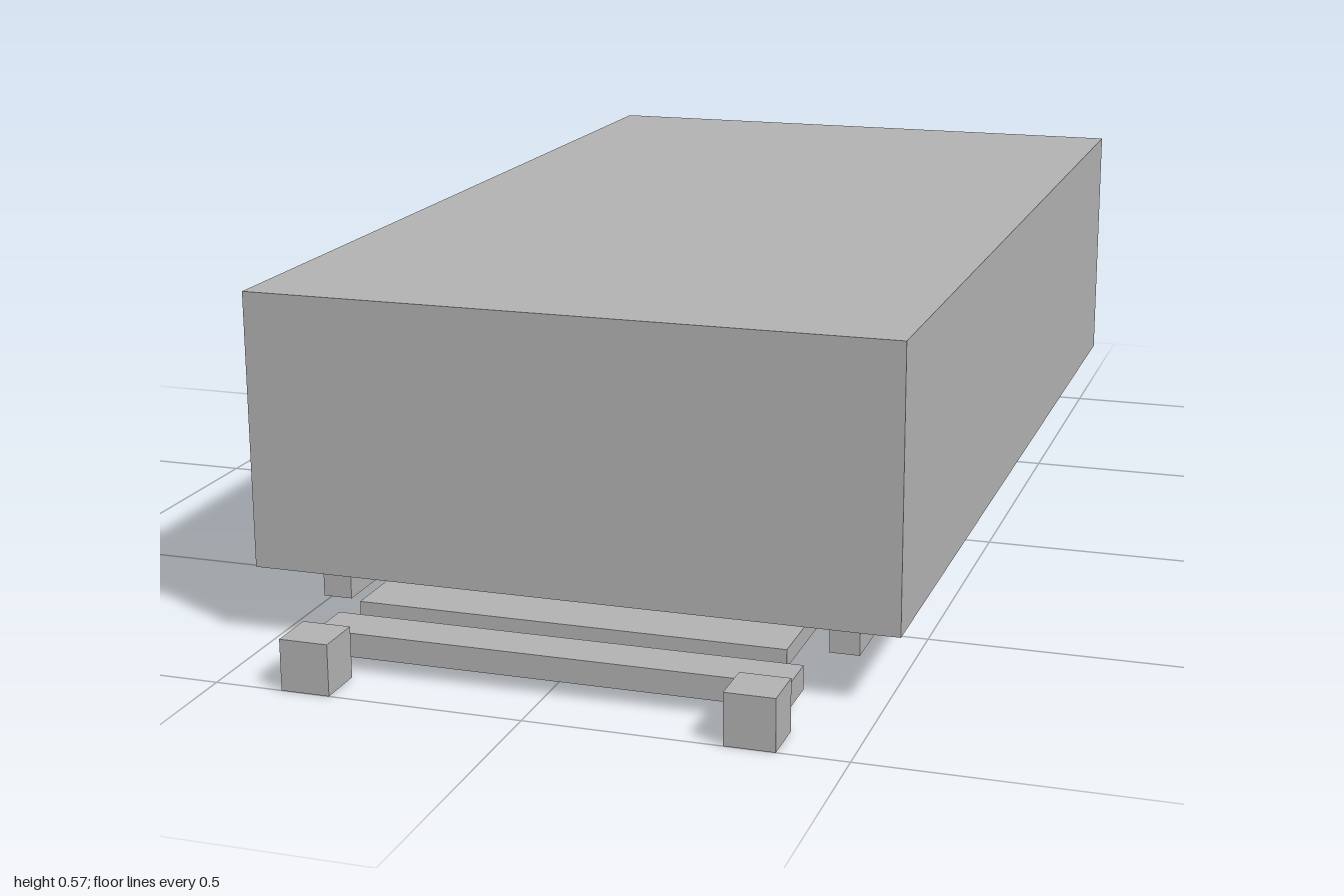
import * as THREE from 'three';

export function createModel() {
  const model = new THREE.Group();
  model.name = 'liftModule';
  const grey = new THREE.MeshStandardMaterial({ color: 0xb2b2b2 });
  grey.name = 'plain grey';

  // Box given by its extents along each axis
  function block(name, [x0, x1], [y0, y1], [z0, z1]) {
    const mesh = new THREE.Mesh(new THREE.BoxGeometry(x1 - x0, y1 - y0, z1 - z0), grey);
    mesh.position.set((x0 + x1) / 2, (y0 + y1) / 2, (z0 + z1) / 2);
    mesh.name = name;
    model.add(mesh);
  }

  // The same box on the left and the right
  function pair(name, [x0, x1], y, z) {
    block(name + 'Left', [x0, x1], y, z);
    block(name + 'Right', [-x1, -x0], y, z);
  }

  // Main body and the plates beneath it
  block('body', [-0.526, 0.526], [0.12, 0.57], [-1, 0.81]);
  block('basePlate', [-0.442, 0.442], [0.074, 0.113], [-0.456, 0.67]);
  block('frontPlate', [-0.35, 0.35], [0.049, 0.078], [0.527, 0.802]);

  // Rails along the sides
  pair('sideRail', [0.398, 0.446], [0.054, 0.094], [-0.518, 0.735]);

  // Wide bars at the front and the rear
  block('frontBar', [-0.38, 0.38], [0.023, 0.062], [0.816, 0.896]);
  block('rearBar', [-0.38, 0.38], [0.023, 0.062], [-0.637, -0.557]);

  // Small bars forming the open frame underneath
  block('frontCrossBar', [-0.27, 0.27], [0.017, 0.05], [0.438, 0.484]);
  block('rearCrossBar', [-0.27, 0.27], [0.017, 0.05], [-0.235, -0.19]);
  pair('innerBar', [0.213, 0.25], [0.017, 0.05], [-0.07, 0.29]);

  // Blocks standing in front
  pair('frontBlock', [0.311, 0.39], [0, 0.083], [0.92, 1]);

  return model;
}
